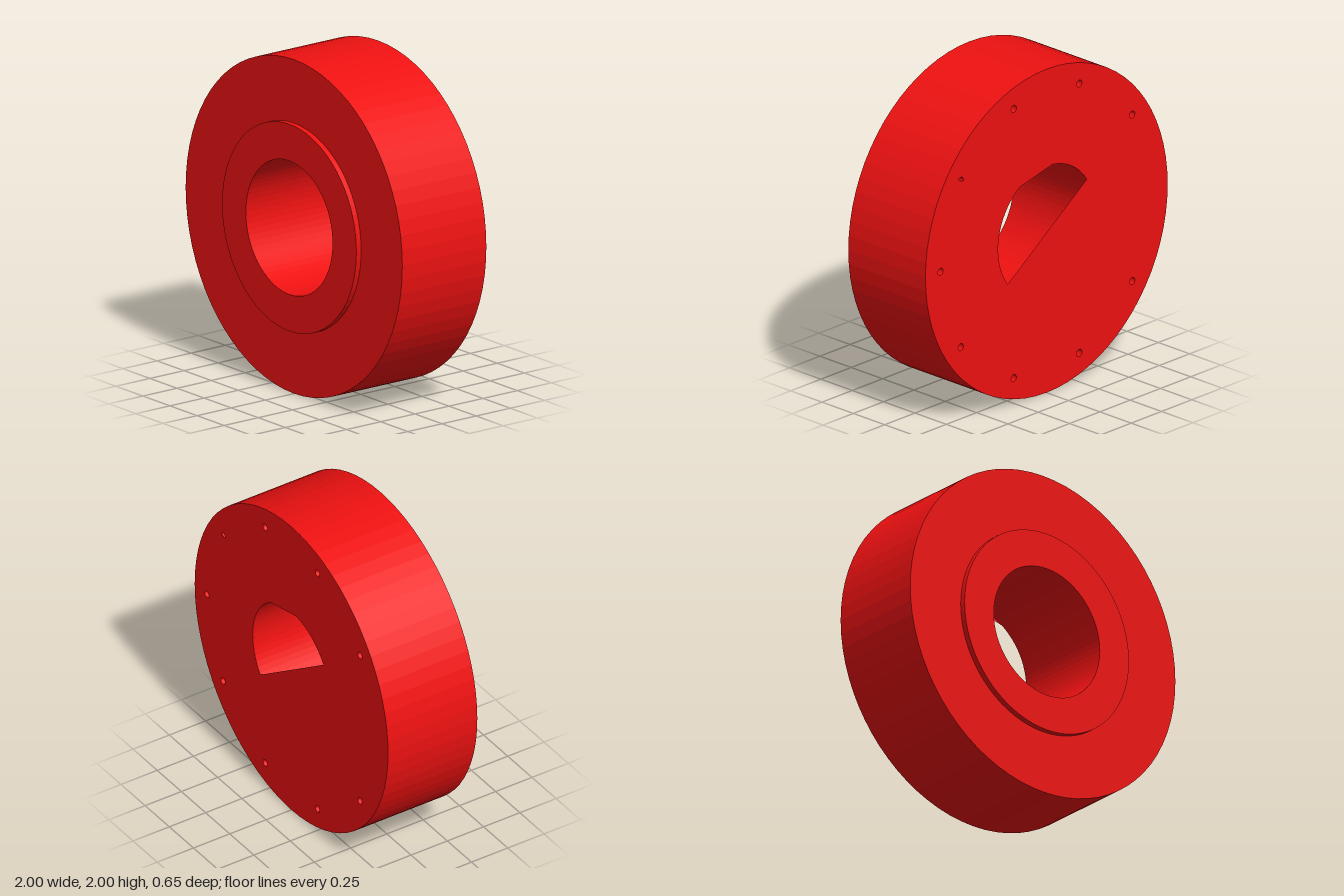
import * as THREE from 'three';

const BACK = -0.325, FACE = 0.29, FRONT = 0.325;
const BORE = 0.4, SEGMENTS = 72;
const PIN_CIRCLE = 0.875, PIN_RADIUS = 0.022, PIN_DEPTH = 0.12;
const rad = THREE.MathUtils.degToRad;

// Points along an arc, angles in degrees
function arc(cx, cy, r, from, to, steps) {
  return Array.from({ length: steps + 1 }, (_, i) => {
    const a = rad(from + (to - from) * i / steps);
    return new THREE.Vector2(cx + r * Math.cos(a), cy + r * Math.sin(a));
  });
}

export function createModel() {
  const model = new THREE.Group();
  const red = new THREE.MeshStandardMaterial({
    color: 0xee1111, flatShading: true, side: THREE.DoubleSide,
  });
  const add = (name, geometry, parent = model) => {
    const mesh = new THREE.Mesh(geometry, red);
    mesh.name = name;
    parent.add(mesh);
    return mesh;
  };

  // Wheel body: rim, front face, raised boss and bore
  const profile = [
    [1, BACK], [1, FACE], [0.62, FACE], [0.62, FRONT], [BORE, FRONT], [BORE, BACK],
  ].map(([r, h]) => new THREE.Vector2(r, h));
  add('body', new THREE.LatheGeometry(profile, SEGMENTS).rotateX(Math.PI / 2));

  // Back plate: closes part of the bore, leaving a clipped half-round opening
  const plate = new THREE.Shape(arc(0, 0, 1, 0, 355, SEGMENTS - 1));
  plate.holes.push(new THREE.Path([
    ...arc(0, 0, BORE, -36.5, 57, 18),
    ...arc(0, 0, BORE, 97, 146, 10),
  ]));

  // Ring of blind pin holes, at 36 degree steps; the one at 180 is closed
  const pins = new THREE.Group();
  pins.name = 'pinHoles';
  model.add(pins);
  for (let i = 0; i < 10; i++) {
    if (i === 5) continue;
    const x = PIN_CIRCLE * Math.cos(rad(36 * i));
    const y = PIN_CIRCLE * Math.sin(rad(36 * i));
    // The second hole is mostly covered, leaving a narrow slit
    const outline = i === 1
      ? arc(x, y, PIN_RADIUS, 20, 200, 8)
      : arc(x, y, PIN_RADIUS, 0, 337.5, 15);
    plate.holes.push(new THREE.Path(outline));

    const wall = new THREE.CylinderGeometry(PIN_RADIUS, PIN_RADIUS, PIN_DEPTH, 16, 1, true);
    add('pinHoleWall', wall.rotateX(Math.PI / 2), pins).position.set(x, y, BACK + PIN_DEPTH / 2);
    const floor = new THREE.CircleGeometry(PIN_RADIUS, 16).rotateY(Math.PI);
    add('pinHoleFloor', floor, pins).position.set(x, y, BACK + PIN_DEPTH);
  }

  // Turn the plate's faces to the back
  const plateGeometry = new THREE.ShapeGeometry(plate);
  plateGeometry.index.array.reverse();
  plateGeometry.computeVertexNormals();
  add('backPlate', plateGeometry).position.z = BACK;

  model.position.y = 1;
  const root = new THREE.Group();
  root.name = 'wheel';
  root.add(model);
  return root;
}
